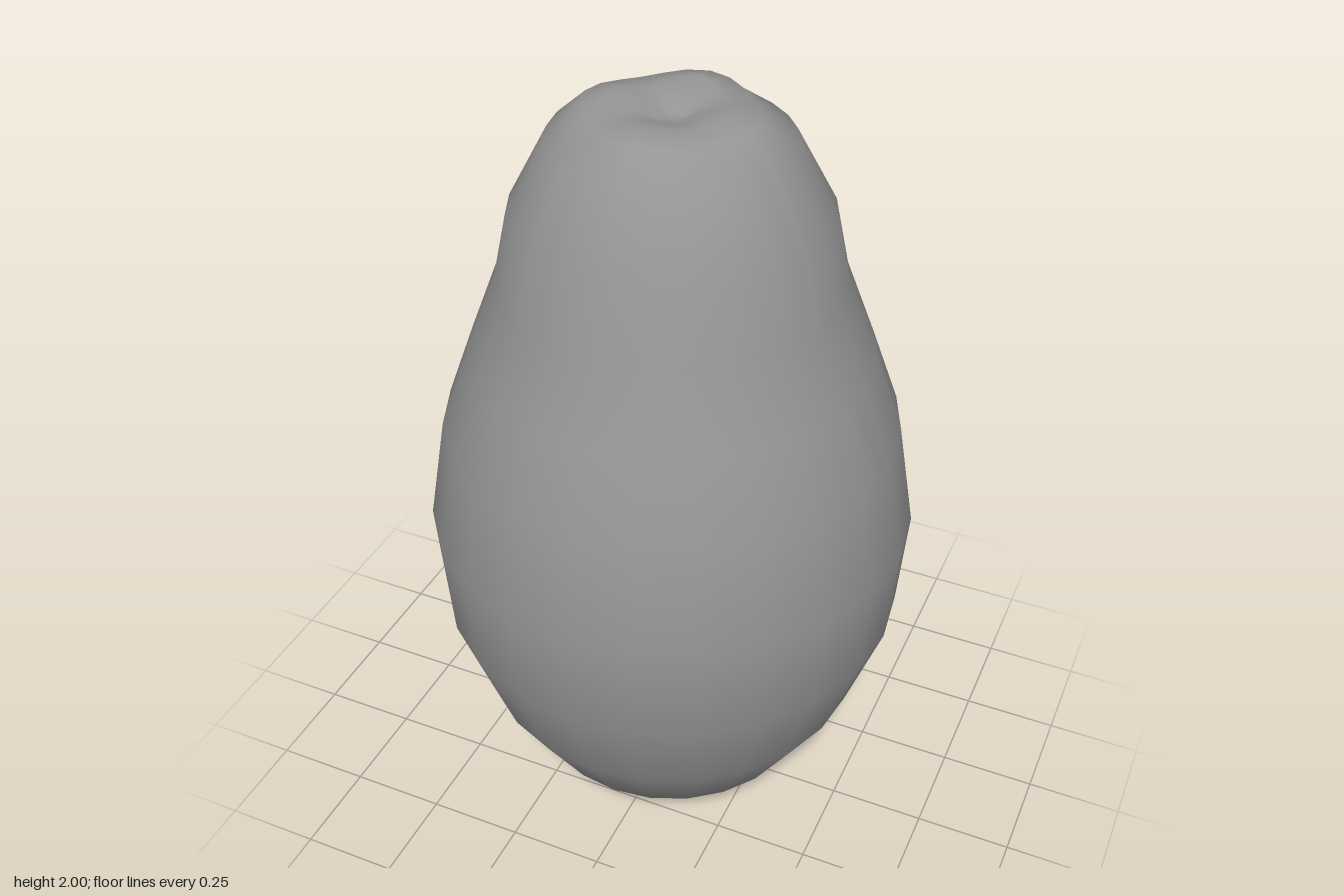
import * as THREE from 'three';
import { mergeVertices } from 'three/addons/utils/BufferGeometryUtils.js';

export function createModel() {
  const group = new THREE.Group();

  // Profile from the base up and into the dimple: radius, height
  const profile = [
    [0, 0], [0.08, 0.003], [0.21, 0.037], [0.382, 0.165], [0.507, 0.37], [0.597, 0.63],
    [0.617, 0.9], [0.57, 1.17], [0.497, 1.37], [0.42, 1.57], [0.383, 1.74],
    [0.288, 1.92], [0.215, 1.985], [0.15, 2.0], [0.075, 1.98], [0.03, 1.96], [0, 1.957],
  ].map(([r, y]) => new THREE.Vector2(r, y));
  const lathe = new THREE.LatheGeometry(profile, 24);

  // Four soft lobes around the stem dimple; the rim dips and draws inward between them
  const p = lathe.attributes.position;
  for (let i = 0; i < p.count; i++) {
    const x = p.getX(i), y = p.getY(i), z = p.getZ(i);
    if (y < 1.9) continue;
    const weight = Math.max(0, 1 - Math.abs(Math.hypot(x, z) - 0.15) / 0.15);
    const valley = weight * (1 - Math.cos(4 * Math.atan2(z, x))) / 2;
    const pull = 1 - 0.18 * valley;
    p.setXYZ(i, x * pull, y - 0.014 * valley, z * pull);
  }

  // Weld the seam and poles so the shading is smooth all round
  lathe.deleteAttribute('uv');
  lathe.deleteAttribute('normal');
  const geometry = mergeVertices(lathe, 1e-4);
  geometry.computeVertexNormals();

  const fruit = new THREE.Mesh(geometry, new THREE.MeshStandardMaterial({ color: 0x959595 }));
  fruit.name = 'fruitBody';
  group.add(fruit);
  return group;
}
